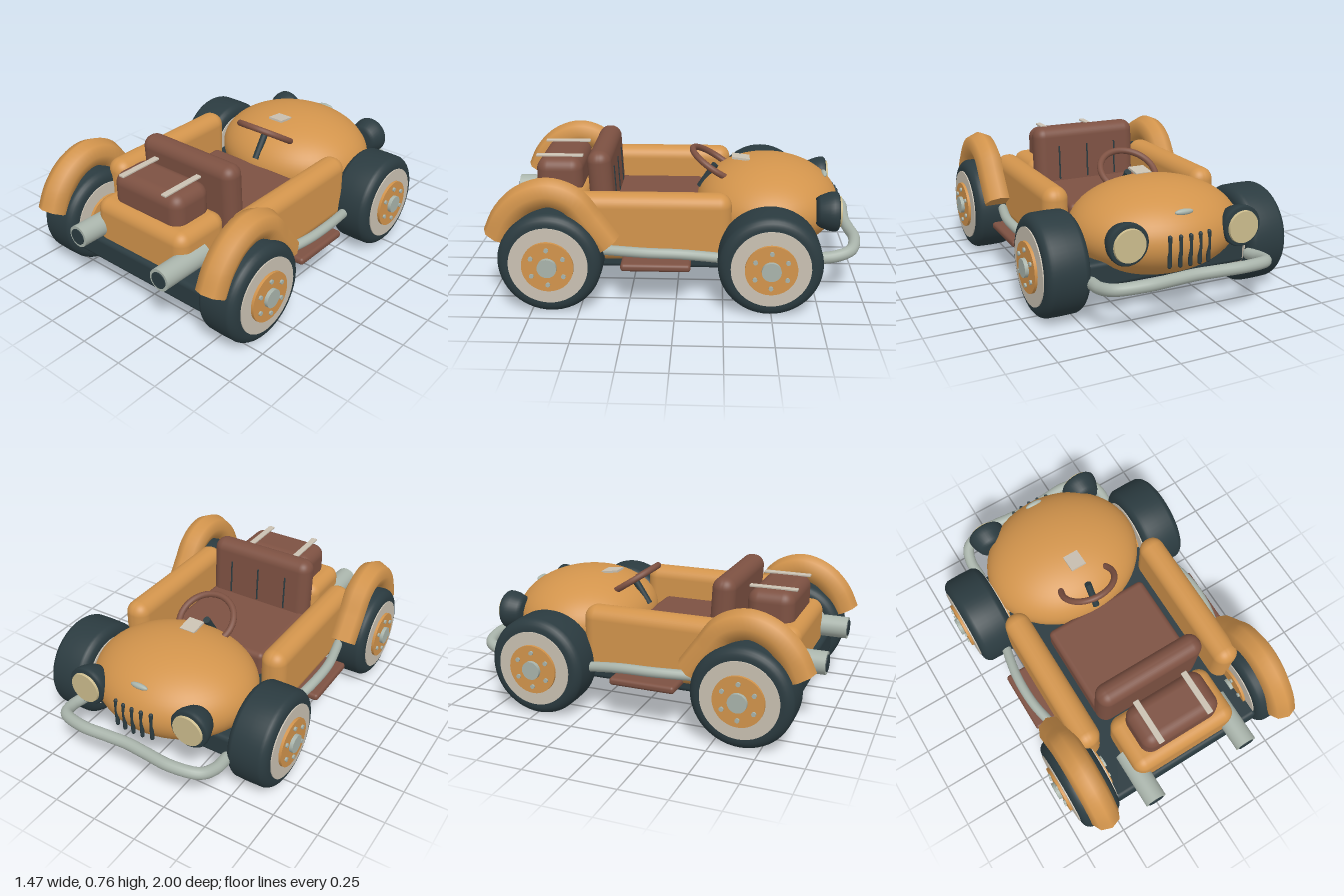
import * as THREE from 'three';
import { RoundedBoxGeometry } from 'three/addons/geometries/RoundedBoxGeometry.js';

const mat = (color, side = THREE.FrontSide) => new THREE.MeshStandardMaterial({ color, side });
const ORANGE = mat(0xd2944c), DARK = mat(0x2b3b40), BROWN = mat(0x7d5142);
const METAL = mat(0xa9b4ab), CREAM = mat(0xcac1b2), LENS = mat(0xcbbb8c);
const FENDER = mat(0xd2944c, THREE.DoubleSide);

export function createModel() {
  const car = new THREE.Group();
  car.name = 'roadster';

  const add = (name, geo, material, x = 0, y = 0, z = 0, parent = car) => {
    const m = new THREE.Mesh(geo, material);
    m.name = name;
    m.position.set(x, y, z);
    parent.add(m);
    return m;
  };
  // Rounded box given by its minimum and maximum corners
  const block = (name, material, [x0, y0, z0], [x1, y1, z1], r) =>
    add(name, new RoundedBoxGeometry(x1 - x0, y1 - y0, z1 - z0, 5, r), material,
      (x0 + x1) / 2, (y0 + y1) / 2, (z0 + z1) / 2);
  const curve = (pts) => new THREE.CatmullRomCurve3(pts.map((p) => new THREE.Vector3(...p)));
  const tube = (name, material, pts, r, sides = 16, steps = 48) =>
    add(name, new THREE.TubeGeometry(curve(pts), steps, r, sides), material);
  const rod = (r0, r1, len, sides = 32) => new THREE.CylinderGeometry(r0, r1, len, sides);

  // Chassis and hood
  block('chassis', DARK, [-0.47, 0.17, -0.68], [0.47, 0.31, 0.87], 0.025);
  const hood = add('hood', new THREE.SphereGeometry(1, 56, 36), ORANGE, 0, 0.412, -0.5);
  hood.scale.set(0.46, 0.248, 0.4);
  const hoodFront = (x, y) =>
    -0.5 - 0.4 * Math.sqrt(1 - (x / 0.46) ** 2 - ((y - 0.412) / 0.248) ** 2);

  // Grille bars half sunk into the hood
  for (let i = -2; i <= 2; i++) {
    const x = i * 0.055, y = 0.39;
    add('grilleBar', new THREE.CapsuleGeometry(0.011, 0.15, 4, 10), DARK, x, y, hoodFront(x, y) + 0.006);
  }
  const emblem = add('hoodOrnament', new THREE.SphereGeometry(1, 20, 12), METAL, 0, 0.563, -0.82);
  emblem.scale.set(0.052, 0.016, 0.016);
  const plate = add('hoodPlate', new THREE.BoxGeometry(0.09, 0.012, 0.1), CREAM, 0, 0.655, -0.345);
  plate.rotation.x = -0.12;

  // Cabin
  block('seatCushion', BROWN, [-0.315, 0.27, -0.13], [0.315, 0.44, 0.4], 0.03);
  const back = block('seatBack', BROWN, [-0.32, 0.3, 0.352], [0.32, 0.76, 0.482], 0.06);
  back.rotation.x = 0.05;
  for (const x of [-0.18, 0, 0.18]) {
    const seam = add('seatSeam', rod(0.005, 0.005, 0.2, 8), DARK, x, 0.55, 0.352);
    seam.rotation.x = 0.05;
  }
  const steering = new THREE.Group();
  steering.name = 'steering';
  steering.position.set(0, 0.615, -0.205);
  steering.rotation.x = 0.995;
  car.add(steering);
  add('steeringWheel', new THREE.TorusGeometry(0.157, 0.018, 14, 48), BROWN, 0, 0, 0, steering);
  add('steeringColumn', rod(0.02, 0.02, 0.16, 16), DARK, 0, 0, 0.085, steering).rotation.x = Math.PI / 2;

  // Rear deck with strapped luggage
  block('rearDeck', ORANGE, [-0.315, 0.25, 0.505], [0.315, 0.535, 0.845], 0.065);
  block('luggage', BROWN, [-0.235, 0.48, 0.53], [0.235, 0.695, 0.785], 0.065);
  for (const x of [-0.15, 0.15])
    block('luggageStrap', CREAM, [x - 0.017, 0.692, 0.53], [x + 0.017, 0.705, 0.79], 0.004);

  // Front bumper, mirrored from one half
  const half = [[0.46, 0.235, -0.73], [0.462, 0.25, -0.84], [0.425, 0.268, -0.925], [0.28, 0.28, -0.968], [0.12, 0.28, -0.958]];
  const path = [...half.map(([x, y, z]) => [-x, y, z]), [0, 0.28, -0.95], ...half.slice().reverse()];
  tube('frontBumper', METAL, path, 0.032, 16, 90);
  for (const s of [-1, 1])
    add('bumperEnd', new THREE.SphereGeometry(0.032, 16, 10), METAL, s * 0.46, 0.235, -0.73);

  // Rounded tyre section, revolved about the axle
  const tyreProfile = [new THREE.Vector2(0.1, -0.117), new THREE.Vector2(0.2, -0.117)];
  for (let i = 0; i <= 12; i++) {
    const a = -Math.PI / 2 + (Math.PI * i) / 12;
    tyreProfile.push(new THREE.Vector2(0.218 + 0.053 * Math.cos(a), 0.062 * Math.sign(Math.round(i - 6)) + 0.055 * Math.sin(a)));
  }
  tyreProfile.push(new THREE.Vector2(0.2, 0.117), new THREE.Vector2(0.1, 0.117));
  const tyreGeo = new THREE.LatheGeometry(tyreProfile, 56);

  const addWheel = (s, z) => {
    const wheel = new THREE.Group();
    wheel.name = 'wheel';
    wheel.position.set(s * 0.575, 0.273, z);
    wheel.rotation.z = -s * Math.PI / 2;
    car.add(wheel);
    add('tyre', tyreGeo, DARK, 0, 0, 0, wheel);
    add('whitewall', rod(0.205, 0.205, 0.246, 48), CREAM, 0, 0, 0, wheel);
    add('hub', rod(0.134, 0.134, 0.276, 40), ORANGE, 0, 0, 0, wheel);
    add('hubCap', rod(0.05, 0.05, 0.316, 28), METAL, 0, 0, 0, wheel);
    for (let i = 0; i < 6; i++) {
      const a = (i * Math.PI) / 3;
      add('wheelBolt', rod(0.012, 0.012, 0.296, 10), METAL, 0.095 * Math.cos(a), 0, 0.095 * Math.sin(a), wheel);
    }
  };

  for (const s of [-1, 1]) {
    addWheel(s, -0.49);
    addWheel(s, 0.647);

    // Body side
    const side = block('bodySide', ORANGE, [0.375, 0.22, -0.29], [0.52, 0.59, 0.585], 0.068);
    side.position.x *= s;

    // Rear fender: eight-sided arch with closed ends
    const x = s * 0.575;
    const arch = [[x, 0.35, 0.355], [x, 0.475, 0.445], [x, 0.585, 0.53], [x, 0.628, 0.65], [x, 0.59, 0.775], [x, 0.5, 0.868], [x, 0.39, 0.922]];
    tube('rearFender', FENDER, arch, 0.081, 8, 32);
    const line = curve(arch);
    for (const t of [0, 1]) {
      const cap = add('fenderEnd', new THREE.CircleGeometry(0.081, 8), FENDER);
      cap.position.copy(line.getPoint(t));
      cap.quaternion.setFromUnitVectors(new THREE.Vector3(0, 0, 1), line.getTangent(t));
    }

    // Side pipe and step
    tube('sidePipe', METAL, [[s * 0.53, 0.25, -0.33], [s * 0.557, 0.275, -0.21], [s * 0.588, 0.303, -0.03], [s * 0.588, 0.308, 0.15], [s * 0.56, 0.305, 0.3], [s * 0.53, 0.3, 0.42]], 0.027);
    const step = block('step', BROWN, [0.45, 0.22, -0.08], [0.64, 0.262, 0.285], 0.018);
    step.position.x *= s;

    // Exhaust
    add('exhaust', rod(0.061, 0.061, 0.31), METAL, s * 0.295, 0.373, 0.835).rotation.x = Math.PI / 2;
    add('exhaustOpening', rod(0.045, 0.045, 0.02), DARK, s * 0.295, 0.373, 0.985).rotation.x = Math.PI / 2;

    // Headlight: lathed shell with a lens
    const shell = [[0, -0.02], [0.07, -0.02], [0.085, 0], [0.103, 0.045], [0.108, 0.07], [0.108, 0.09], [0.1, 0.1], [0, 0.1]];
    const lamp = new THREE.Group();
    lamp.name = 'headlight';
    lamp.position.set(s * 0.32, 0.452, -0.765);
    lamp.rotation.x = -Math.PI / 2;
    car.add(lamp);
    add('headlightShell', new THREE.LatheGeometry(shell.map((p) => new THREE.Vector2(...p)), 36), DARK, 0, 0, 0, lamp);
    add('headlightLens', rod(0.084, 0.09, 0.025), LENS, 0, 0.1, 0, lamp);
  }
  return car;
}
